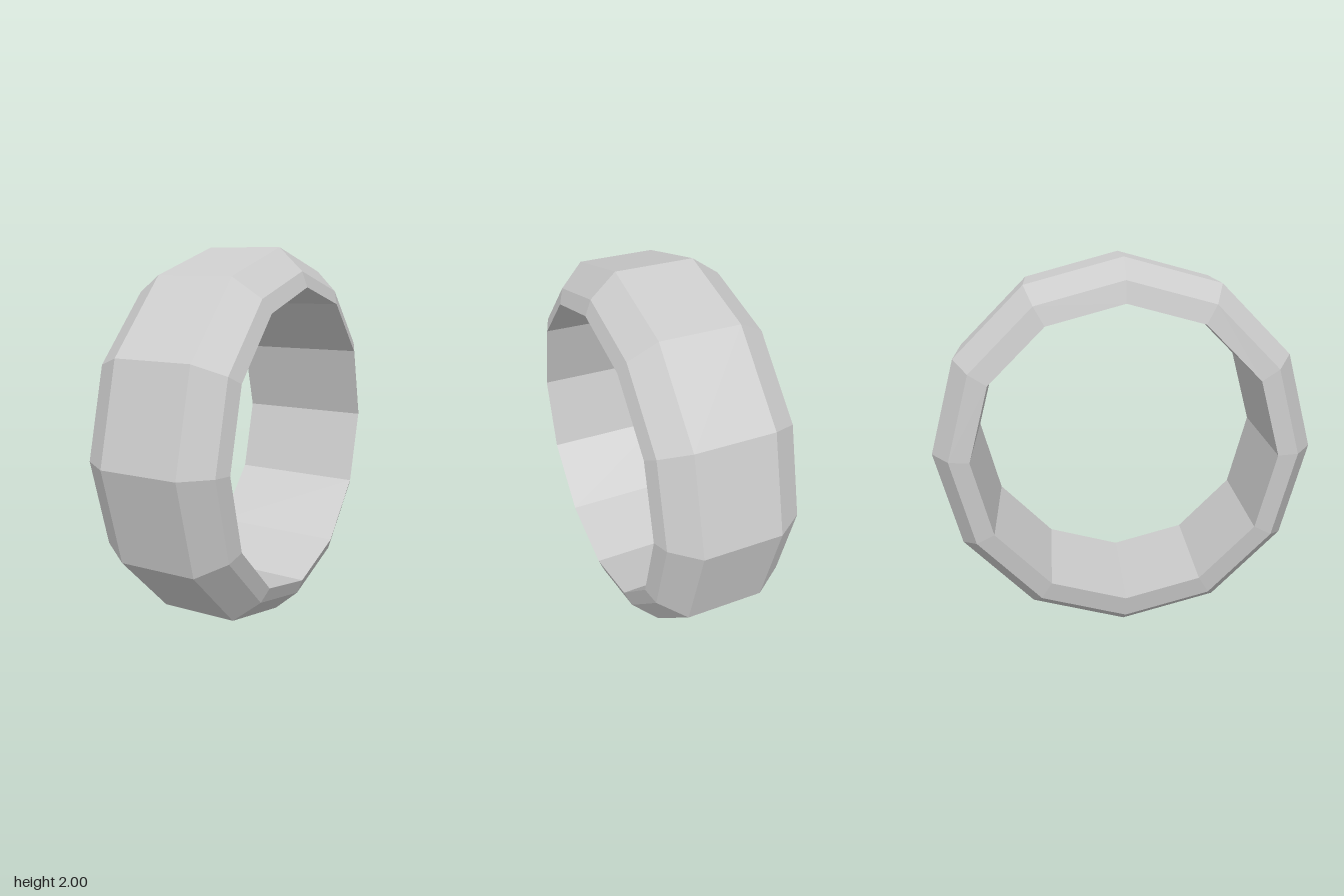
import * as THREE from 'three';

export function createModel() {
  const group = new THREE.Group();
  group.name = 'ringModel';

  // closed cross-section: [radius, position along the x axis]
  const profile = [
    [0.79, -0.37], // left rim, inner edge
    [0.90, -0.35], // left shoulder
    [1.00, -0.205], // outer band
    [1.00, 0.205],
    [0.88, 0.335], // right shoulder
    [0.80, 0.365], // right rim, inner edge
    [0.79, -0.37], // bore, back to the start
  ].map(([r, x]) => new THREE.Vector2(r, x));

  // twelve-sided ring, with its axis turned from y to x
  const geometry = new THREE.LatheGeometry(profile, 12);
  geometry.rotateZ(-Math.PI / 2);
  geometry.translate(0, 1, 0);

  const ring = new THREE.Mesh(
    geometry,
    new THREE.MeshStandardMaterial({ color: 0xcccccc, flatShading: true })
  );
  ring.name = 'ring';
  group.add(ring);
  return group;
}
